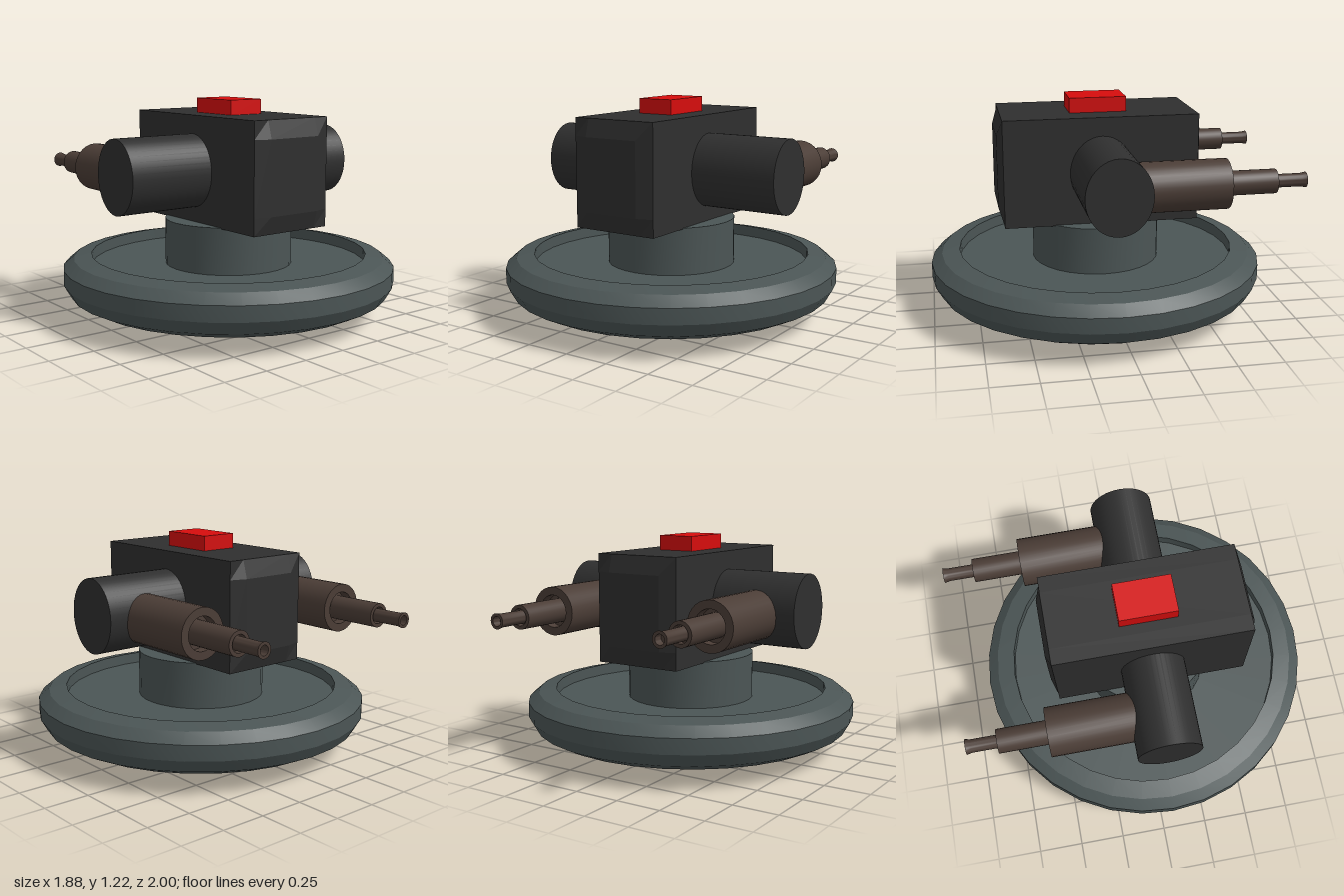
import * as THREE from 'three';
import { toCreasedNormals } from 'three/addons/utils/BufferGeometryUtils.js';

const CZ = 0.06; // z of the pedestal axis

function material(name, color, flatShading = false) {
  const m = new THREE.MeshStandardMaterial({ color, flatShading });
  m.name = name;
  return m;
}

// Lathe with crisp profile corners and a smooth round surface
function lathe(points, segments, crease) {
  const g = new THREE.LatheGeometry(points.map(([r, y]) => new THREE.Vector2(r, y)), segments);
  return toCreasedNormals(g, crease);
}

export function createModel() {
  const model = new THREE.Group();
  model.name = 'turret';
  const grey = material('slate grey', 0x4b5555);
  const black = material('charcoal', 0x2f2f2f);
  const brown = material('dark brown', 0x4b3d36);
  const red = material('red', 0xd60d0d);

  const add = (name, geometry, mat, x = 0, y = 0, z = 0) => {
    const mesh = new THREE.Mesh(geometry, mat);
    mesh.name = name;
    mesh.position.set(x, y, z);
    model.add(mesh);
    return mesh;
  };

  // Rounded dish with a domed underside and a sunken floor
  add('base', lathe([
    [0, 0], [0.25, 0.008], [0.5, 0.03], [0.7, 0.06], [0.82, 0.09], [0.9, 0.13],
    [0.94, 0.2], [0.94, 0.285], [0.88, 0.335], [0.78, 0.355], [0.78, 0.29], [0, 0.29],
  ], 32, 0.3), grey, 0, 0, CZ);

  // Round column under the body
  add('column', toCreasedNormals(new THREE.CylinderGeometry(0.36, 0.36, 0.275, 32), 0.5),
    grey, 0, 0.4125, CZ);

  // Body block with shallow bevelled front and back faces
  const body = new THREE.BoxGeometry(0.5, 0.595, 1.07, 3, 3, 1);
  const p = body.attributes.position;
  for (let i = 0; i < p.count; i++) {
    const x = p.getX(i), y = p.getY(i), z = p.getZ(i);
    const innerX = Math.abs(x) < 0.2, innerY = Math.abs(y) < 0.2;
    if (innerX) p.setX(i, Math.sign(x) * 0.16);
    if (innerY) p.setY(i, Math.sign(y) * 0.2);
    if (innerX && innerY) p.setZ(i, z + Math.sign(z) * 0.028);
  }
  add('body', toCreasedNormals(body, 0.05), black, 0, 0.8425, CZ);

  // Slightly oval cross arm through the body
  const arm = new THREE.CylinderGeometry(0.203, 0.203, 1.49, 40);
  arm.rotateZ(Math.PI / 2);
  arm.scale(1, 1, 0.865);
  add('crossArm', toCreasedNormals(arm, 0.5), black, 0, 0.835, CZ);

  // Stepped hollow barrels pointing backwards
  const barrel = lathe([
    [0, 0], [0.135, 0], [0.135, 0.56], [0.09, 0.56], [0.09, 0.5], [0.066, 0.5],
    [0.066, 0.83], [0.046, 0.83], [0.046, 0.79], [0.036, 0.79], [0.036, 0.97],
    [0.042, 1], [0.026, 1], [0.026, 0.95], [0, 0.95],
  ], 28, 0.5);
  barrel.rotateX(-Math.PI / 2);
  for (const side of [-1, 1]) {
    add(side > 0 ? 'leftBarrel' : 'rightBarrel', barrel, brown, side * 0.505, 0.815, 0);
  }

  // Red block on the roof
  add('roofLight', new THREE.BoxGeometry(0.21, 0.085, 0.315), red, 0, 1.1795, CZ);

  return model;
}
